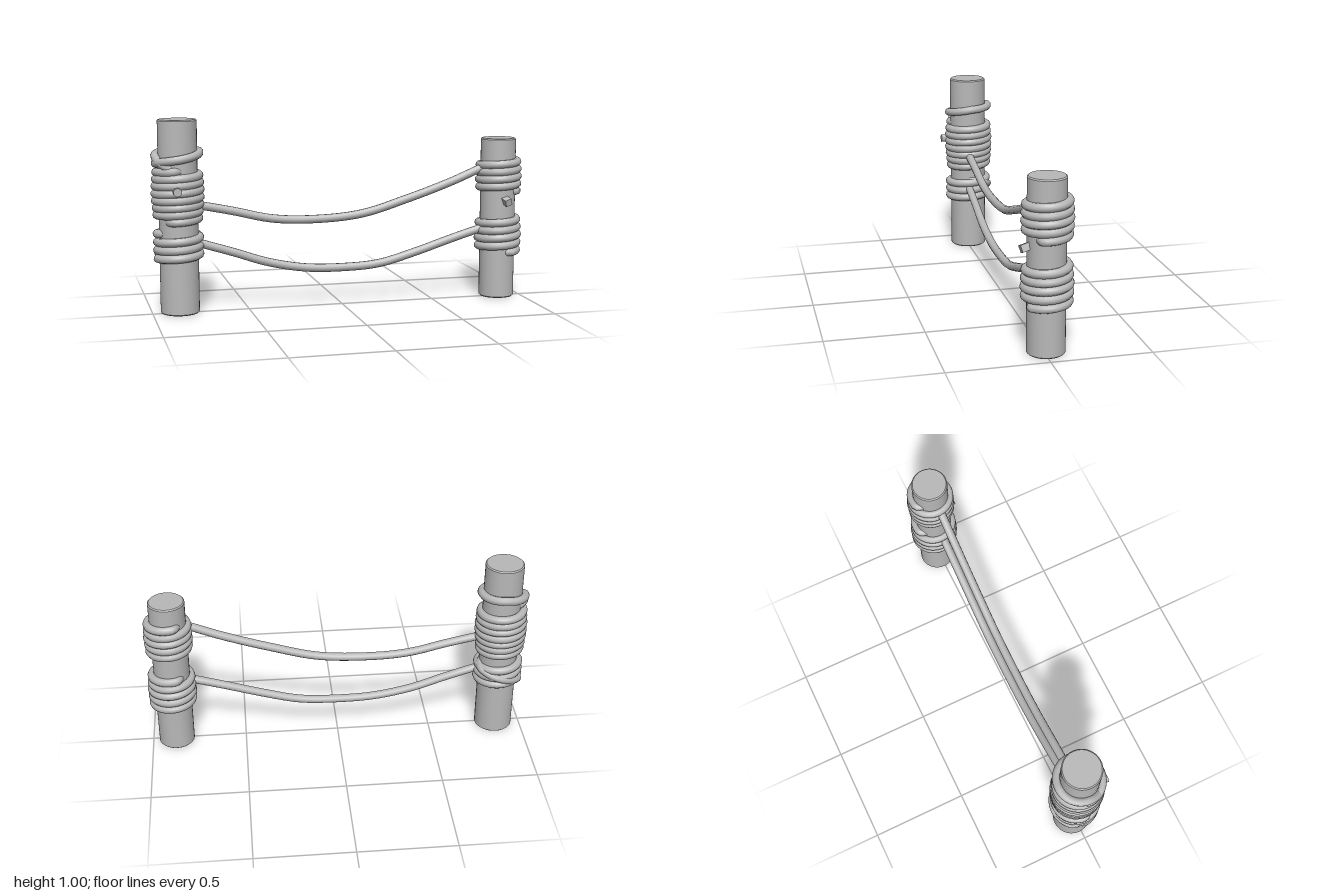
import * as THREE from 'three';
import { toCreasedNormals } from 'three/addons/utils/BufferGeometryUtils.js';

const ROPE = 0.022;

export function createModel() {
  const group = new THREE.Group();
  const gray = new THREE.MeshStandardMaterial({ color: 0xb8b8b8 });
  gray.name = 'plain gray';

  function add(name, geometry) {
    const mesh = new THREE.Mesh(geometry, gray);
    mesh.name = name;
    group.add(mesh);
    return mesh;
  }

  // Round post with a small bevel at both ends
  function post(name, x, z, r, h) {
    const b = 0.006;
    const profile = [[0, 0], [r - b, 0], [r, b], [r, h - b], [r - b, h], [0, h]]
      .map(([px, py]) => new THREE.Vector2(px, py));
    const geometry = toCreasedNormals(new THREE.LatheGeometry(profile, 36), 0.6);
    add(name, geometry).position.set(x, 0, z);
  }

  function rope(name, points, segments) {
    const curve = new THREE.CatmullRomCurve3(points);
    add(name, new THREE.TubeGeometry(curve, segments, ROPE, 10));
  }

  // Rope wound round a post; keys are [degrees from the front, height, radius]
  function wrap(name, x, z, keys) {
    const points = [];
    for (let k = 0; k < keys.length - 1; k++) {
      const a = keys[k], b = keys[k + 1];
      const n = Math.max(1, Math.ceil(Math.abs(b[0] - a[0]) / 15));
      for (let i = k ? 1 : 0; i <= n; i++) {
        const [deg, y, r] = a.map((v, j) => v + (b[j] - v) * i / n);
        const t = THREE.MathUtils.degToRad(deg);
        points.push(new THREE.Vector3(x + r * Math.sin(t), y, z + r * Math.cos(t)));
      }
    }
    rope(name, points, points.length * 2);
  }

  // Hanging rope through [x, y] points
  function span(name, pts) {
    rope(name, pts.map(([x, y]) => new THREE.Vector3(x, y, 0.003)), 60);
  }

  const LX = -0.858, RX = 0.873, Z = -0.01;
  post('rightPost', LX, Z, 0.1, 0.997);
  post('leftPost', RX, Z, 0.094, 0.865);

  // Windings on the tall post; the ends tuck into the wood
  wrap('tallPostUpperCoil', LX - 0.002, Z - 0.004, [
    [-50, 0.478, 0.07], [-20, 0.482, 0.105], [900, 0.575, 0.113], [1260, 0.61, 0.115],
    [1620, 0.65, 0.115], [2500, 0.737, 0.108], [2530, 0.74, 0.07]]);
  wrap('tallPostTopLoop', LX - 0.002, Z - 0.004, [
    [-120, 0.765, 0.08], [-90, 0.775, 0.112], [0, 0.8, 0.112], [90, 0.83, 0.112],
    [180, 0.838, 0.112], [270, 0.812, 0.112], [315, 0.77, 0.109], [340, 0.735, 0.09]]);
  wrap('tallPostLowerCoil', LX - 0.002, Z, [
    [-120, 0.285, 0.07], [-90, 0.288, 0.108], [990, 0.415, 0.108], [1020, 0.418, 0.07]]);
  wrap('tallPostCrossRope', LX - 0.002, Z, [
    [85, 0.408, 0.09], [120, 0.395, 0.115], [240, 0.32, 0.115], [275, 0.3, 0.09]]);

  // Windings on the short post
  wrap('shortPostUpperCoil', RX + 0.003, Z - 0.002, [
    [40, 0.575, 0.06], [65, 0.578, 0.1], [800, 0.66, 0.105], [1640, 0.752, 0.1], [1670, 0.75, 0.06]]);
  wrap('shortPostLowerCoil', RX + 0.003, Z - 0.002, [
    [5, 0.247, 0.06], [30, 0.25, 0.103], [800, 0.342, 0.107], [1640, 0.438, 0.1], [1670, 0.436, 0.06]]);

  // Two sagging ropes between the posts
  span('upperRope', [[-0.84, 0.57], [-0.74, 0.553], [-0.58, 0.52], [-0.38, 0.474], [-0.18, 0.461],
    [0.1, 0.48], [0.35, 0.55], [0.6, 0.635], [0.78, 0.708], [0.85, 0.732]]);
  span('lowerRope', [[-0.84, 0.385], [-0.74, 0.355], [-0.58, 0.305], [-0.4, 0.245], [-0.2, 0.206],
    [0, 0.198], [0.2, 0.21], [0.4, 0.262], [0.6, 0.325], [0.78, 0.378], [0.85, 0.395]]);

  // Round nail on the tall post, square nail on the short post
  const nail = add('roundNail', toCreasedNormals(new THREE.CylinderGeometry(0.022, 0.022, 0.09, 10), 0.7));
  nail.rotation.x = Math.PI / 2;
  nail.position.set(-0.878, 0.642, 0.098);
  const peg = add('squareNail', new THREE.BoxGeometry(0.036, 0.036, 0.06));
  peg.rotation.set(0.25, 0.15, 0.3);
  peg.position.set(0.885, 0.533, 0.09);

  return group;
}
